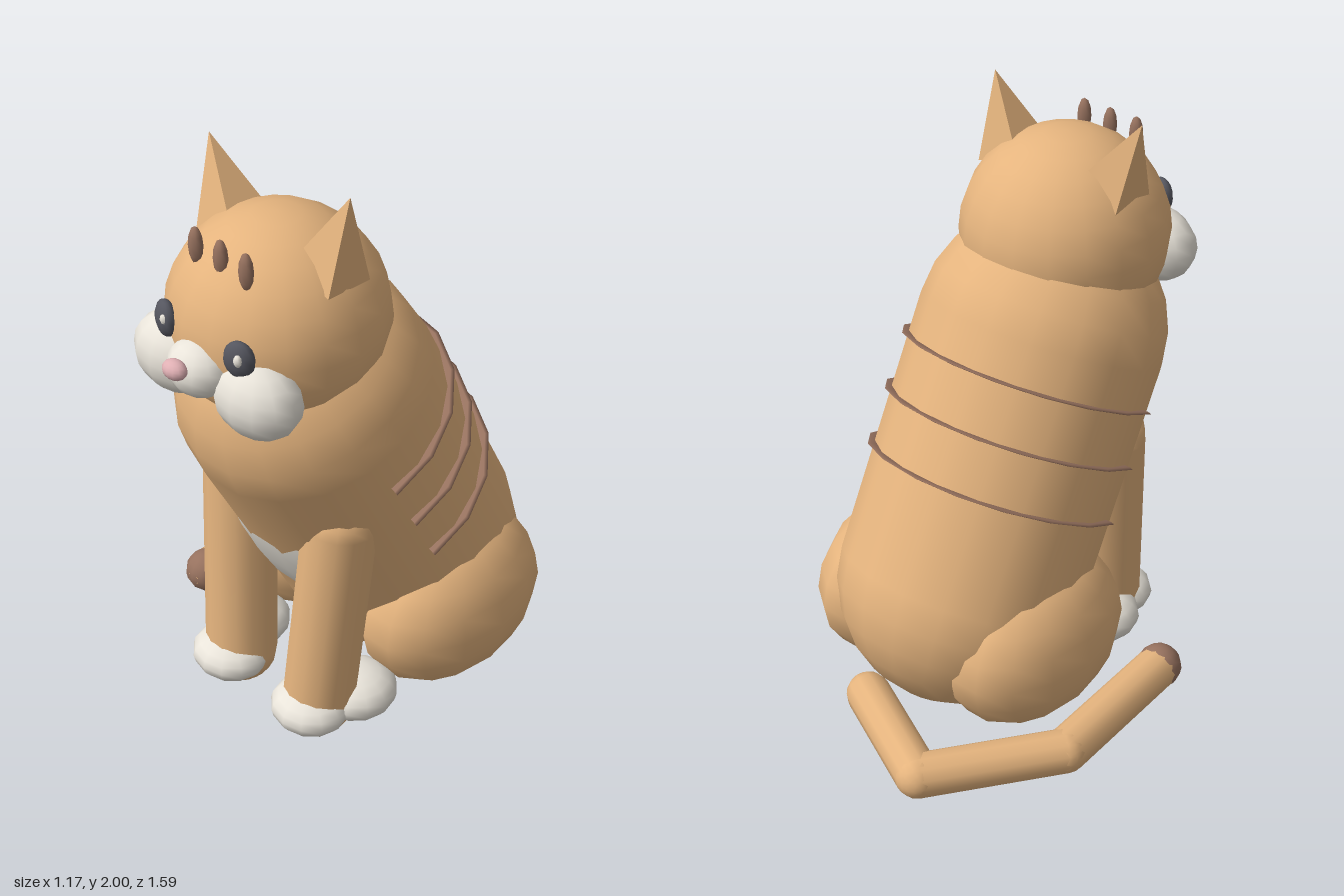
import * as THREE from 'three';

const mat = (color, flatShading = false) => new THREE.MeshStandardMaterial({ color, flatShading });
const V = (x, y, z) => new THREE.Vector3(x, y, z);
const UP = V(0, 1, 0);

export function createModel() {
  const cat = new THREE.Group();
  cat.name = 'sittingCat';
  const CX = 0.07; // the animal's own centre line; the tail offsets it
  const fur = mat(0xe5b47e), furFlat = mat(0xe5b47e, true), white = mat(0xe9e4da);
  const brown = mat(0x97725f), dark = mat(0x55565f), pink = mat(0xe0b0b4);

  const add = (name, geometry, material, pos) => {
    const mesh = new THREE.Mesh(geometry, material);
    mesh.name = name;
    mesh.position.copy(pos);
    cat.add(mesh);
    return mesh;
  };
  const ellipsoid = (name, material, pos, radii, w = 12, h = 10) => {
    const mesh = add(name, new THREE.SphereGeometry(1, w, h), material, pos);
    mesh.scale.set(...radii);
    return mesh;
  };
  // capsule whose end-sphere centres are a and b
  const capsule = (name, a, b, r, material, caps = 5, sides = 14) => {
    const d = b.clone().sub(a);
    const mesh = add(name, new THREE.CapsuleGeometry(r, d.length(), caps, sides), material, a.clone().lerp(b, 0.5));
    mesh.quaternion.setFromUnitVectors(UP, d.normalize());
    return mesh;
  };

  // Leaning body
  const low = V(CX, 0.415, -0.17), high = V(CX, 1.2, 0.245);
  const axis = high.clone().sub(low).normalize();
  const lean = Math.atan2(axis.z, axis.y);
  capsule('body', low, high, 0.41, fur, 6, 18);

  // Pale belly patch, just proud of the body
  ellipsoid('belly', white, V(CX, 0.635, 0.287), [0.25, 0.33, 0.117], 14, 10).rotation.x = lean;

  // Thin stripes wrapping the back
  const arc = Math.PI * 1.17;
  for (const t of [0.37, 0.56, 0.75]) {
    const g = new THREE.TorusGeometry(0.412, 0.024, 6, 10, arc);
    g.rotateZ(Math.PI / 2 - arc / 2); // centre the arc on +y
    g.scale(1, 1, 0.2);
    g.rotateX(-Math.PI / 2); // lay flat, opening to the front
    add('backStripe', g, brown, low.clone().addScaledVector(axis, t)).rotation.x = lean;
  }

  // Head
  ellipsoid('head', fur, V(CX, 1.525, 0.355), [0.34, 0.34, 0.34], 18, 14);
  ellipsoid('muzzle', white, V(CX, 1.48, 0.665), [0.107, 0.09, 0.1]);
  ellipsoid('nose', pink, V(CX, 1.515, 0.765), [0.043, 0.031, 0.032]);

  // Four-sided ears
  const ear = (name, base, tip) => {
    const d = tip.clone().sub(base);
    const g = new THREE.ConeGeometry(0.12, d.length(), 4);
    g.rotateY(Math.PI / 4);
    add(name, g, furFlat, base.clone().lerp(tip, 0.5)).quaternion.setFromUnitVectors(UP, d.normalize());
  };
  ear('leftEar', V(0.265, 1.735, 0.34), V(0.335, 2.0, 0.325));
  ear('rightEar', V(-0.125, 1.735, 0.34), V(-0.24, 1.99, 0.325));

  // Forehead marks
  for (const dx of [-0.104, 0, 0.104])
    ellipsoid('foreheadMark', brown, V(CX + dx, 1.8, 0.575), [0.025, 0.062, 0.02], 8, 6);

  // Paired parts
  for (const s of [1, -1]) {
    const side = s > 0 ? 'left' : 'right';
    const at = (x, y, z) => V(CX + s * x, y, z);

    ellipsoid(side + 'Cheek', white, at(0.17, 1.425, 0.605), [0.153, 0.127, 0.113]);
    ellipsoid(side + 'Eye', dark, at(0.154, 1.57, 0.657), [0.05, 0.06, 0.03]).rotation.y = s * 0.35;
    ellipsoid(side + 'EyeGlint', white, at(0.154, 1.583, 0.68).add(V(0.018, 0, 0)), [0.014, 0.02, 0.012], 8, 6);

    capsule(side + 'FrontLeg', at(0.183, 0.12, 0.385), at(0.225, 0.84, 0.325), 0.12, fur);
    ellipsoid(side + 'FrontPaw', white, at(0.187, 0.122, 0.43), [0.135, 0.08, 0.125]);
    ellipsoid(side + 'HindPaw', white, at(0.25, 0.132, 0.275), [0.13, 0.083, 0.135]);
    ellipsoid(side + 'Haunch', fur, at(0.28, 0.315, -0.13), [0.237, 0.288, 0.362], 14, 10);
  }

  // Jointed tail curling round the right side
  const joints = [V(0.12, 0.16, -0.575), V(-0.23, 0.117, -0.725), V(-0.512, 0.115, -0.335), V(-0.49, 0.115, 0.195)];
  for (let i = 0; i < 3; i++) capsule('tailSegment', joints[i], joints[i + 1], 0.073, fur, 5, 12);
  ellipsoid('tailTip', brown, joints[3], [0.076, 0.076, 0.076]);

  return cat;
}
